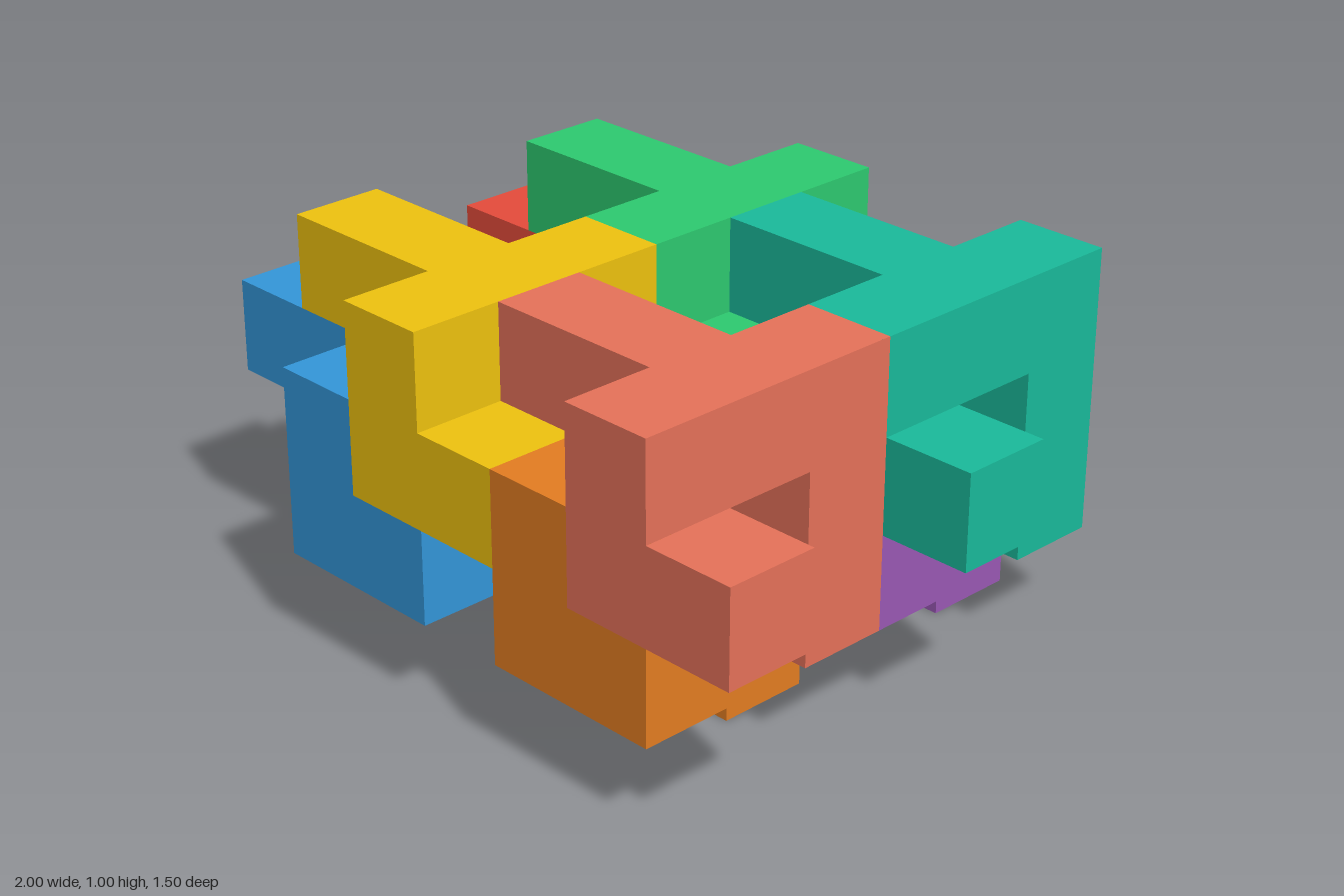
import * as THREE from 'three';
import { mergeGeometries } from 'three/addons/utils/BufferGeometryUtils.js';

const S = 0.25; // edge of one cube cell

// Cells [x, y, z] of the two pieces that make one interlocking unit
const upperCells = [
  [4, 3, 1], [5, 3, 1], [6, 3, 1], [6, 3, 0], [6, 3, 2], // cross on top
  [6, 2, 0], [6, 1, 0],                                   // rear leg
  [6, 2, 2], [7, 2, 2],                                   // front hook
];
const lowerCells = [
  [3, 2, 1], [4, 2, 1], [5, 2, 1], [5, 2, 0], [5, 2, 2], // cross underneath
  [5, 1, 0], [5, 0, 0],                                   // rear leg
  [5, 1, 2], [6, 1, 2],                                   // front hook
];

const directions = [[1, 0, 0], [-1, 0, 0], [0, 1, 0], [0, -1, 0], [0, 0, 1], [0, 0, -1]];

// Outer skin of a set of cells: one square wherever a cell has no neighbour
function cellGeometry(cells) {
  const filled = new Set(cells.map(String));
  const faces = [];
  for (const c of cells) {
    for (const d of directions) {
      if (filled.has(String(c.map((v, i) => v + d[i])))) continue;
      const face = new THREE.PlaneGeometry(S, S);
      face.lookAt(new THREE.Vector3(...d));
      face.translate(...c.map((v, i) => (v + 0.5 + d[i] / 2) * S));
      faces.push(face);
    }
  }
  return mergeGeometries(faces);
}

export function createModel() {
  const model = new THREE.Group();
  const upper = cellGeometry(upperCells);
  const lower = cellGeometry(lowerCells);

  function addPiece(parent, geometry, color, name) {
    const mesh = new THREE.Mesh(geometry, new THREE.MeshStandardMaterial({ color }));
    mesh.name = name;
    parent.add(mesh);
  }

  // The same unit repeats every three cells along x and z
  const units = [
    { name: 'frontLeftUnit', x: 0, z: 0, upper: 0xe8735a, lower: 0xe67e22 },
    { name: 'frontRightUnit', x: -3, z: 0, upper: 0xf1c40f, lower: 0x3498db },
    { name: 'backLeftUnit', x: 0, z: -3, upper: 0x1abc9c, lower: 0x9b59b6 },
    { name: 'backRightUnit', x: -3, z: -3, upper: 0x2ecc71, lower: 0xe74c3c },
  ];
  for (const u of units) {
    const unit = new THREE.Group();
    unit.name = u.name;
    unit.position.set((u.x - 4) * S, 0, u.z * S);
    addPiece(unit, upper, u.upper, 'upperPiece');
    addPiece(unit, lower, u.lower, 'lowerPiece');
    model.add(unit);
  }
  return model;
}
